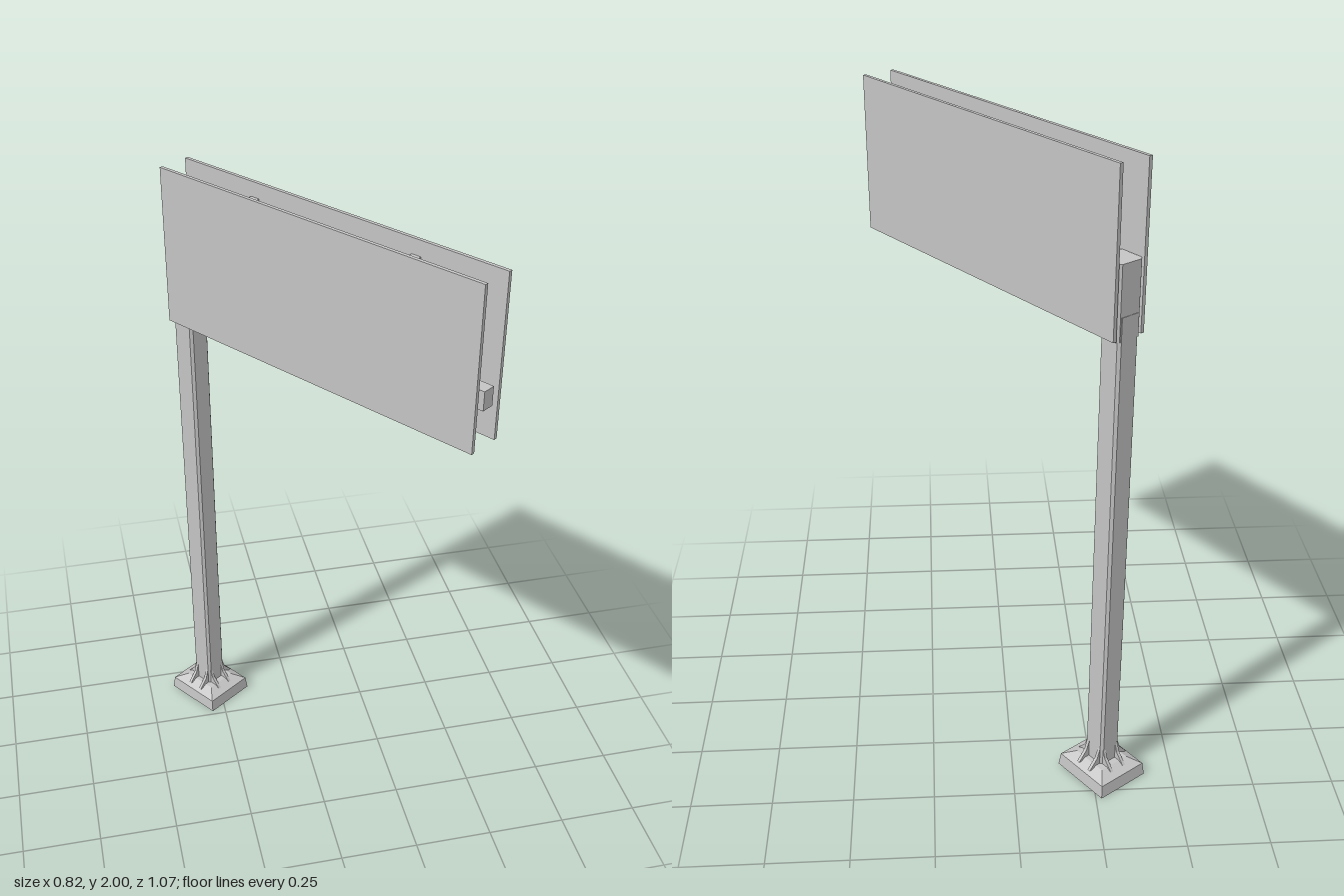
import * as THREE from 'three';

const steel = new THREE.MeshStandardMaterial({ color: 0xc4c4c4 });
steel.name = 'grey steel';

export function createModel() {
  const model = new THREE.Group();
  model.name = 'cantilever billboard';

  // everything is laid out along local x, then turned to the diagonal
  const sign = new THREE.Group();
  sign.name = 'sign assembly';
  sign.rotation.y = -0.951;
  sign.position.set(0.003, 0, -0.002);
  model.add(sign);

  const add = (name, geometry, x = 0, y = 0, z = 0, parent = sign) => {
    const mesh = new THREE.Mesh(geometry, steel);
    mesh.name = name;
    mesh.position.set(x, y, z);
    parent.add(mesh);
    return mesh;
  };

  // box whose upper face is scaled by (sx, sz)
  const taperedBox = (w, h, d, sx, sz) => {
    const g = new THREE.BoxGeometry(w, h, d);
    const p = g.attributes.position;
    for (let i = 0; i < p.count; i++) {
      if (p.getY(i) > 0) p.setXYZ(i, p.getX(i) * sx, p.getY(i), p.getZ(i) * sz);
    }
    g.computeVertexNormals();
    return g;
  };

  // upright prism with chamfered corners, standing on its own y = 0
  const chamferedPrism = (w, d, c, h) => {
    const a = w / 2, b = d / 2;
    const s = new THREE.Shape([
      [a - c, -b], [a, -b + c], [a, b - c], [a - c, b],
      [-a + c, b], [-a, b - c], [-a, -b + c], [-a + c, -b],
    ].map(([x, y]) => new THREE.Vector2(x, y)));
    return new THREE.ExtrudeGeometry(s, { depth: h, bevelEnabled: false }).rotateX(-Math.PI / 2);
  };

  // footing: slab with a sloped top
  const postX = -0.49;
  add('base slab', taperedBox(0.205, 0.042, 0.18, 0.95, 0.95), postX, 0.021);
  add('base slope', taperedBox(0.195, 0.02, 0.171, 0.6, 0.6), postX, 0.052);

  // post and the wider head that carries the arm
  add('post', chamferedPrism(0.077, 0.073, 0.008, 1.55), postX, 0.03);
  add('post head', chamferedPrism(0.09, 0.084, 0.008, 0.22), postX + 0.008, 1.51);

  // two triangular ribs on each side of the post
  const ribShape = new THREE.Shape([
    new THREE.Vector2(0, 0), new THREE.Vector2(0.042, 0),
    new THREE.Vector2(0.012, 0.035), new THREE.Vector2(0, 0.072),
  ]);
  const ribGeometry = new THREE.ExtrudeGeometry(ribShape, { depth: 0.01, bevelEnabled: false });
  ribGeometry.translate(0.035, 0, -0.005);
  for (let side = 0; side < 4; side++) {
    const ribs = new THREE.Group();
    ribs.name = 'base ribs';
    ribs.position.set(postX, 0.052, 0);
    ribs.rotation.y = side * Math.PI / 2;
    for (const z of [-0.025, 0.025]) add('rib', ribGeometry, 0, 0, z, ribs);
    sign.add(ribs);
  }

  // horizontal arm, slightly narrower at the free end
  const arm = taperedBox(0.058, 1.07, 0.05, 1, 0.8);
  arm.rotateZ(-Math.PI / 2);
  add('arm', arm, 0.083, 1.66);

  // twin panels with brackets between them
  for (const s of [-1, 1]) {
    add('panel', new THREE.BoxGeometry(1.143, 0.485, 0.011), 0.046, 1.7575, s * 0.05);
  }
  for (const x of [-0.245, 0.33]) {
    const bracket = new THREE.Group();
    bracket.name = 'bracket';
    bracket.position.x = x;
    sign.add(bracket);
    add('crossbar', new THREE.BoxGeometry(0.022, 0.02, 0.09), 0, 1.7, 0, bracket);
    add('lower crossbar', new THREE.BoxGeometry(0.022, 0.02, 0.09), 0, 1.62, 0, bracket);
    for (const s of [-1, 1]) {
      add('upright', new THREE.BoxGeometry(0.03, 0.42, 0.02), 0, 1.745, s * 0.036, bracket);
    }
  }
  return model;
}
